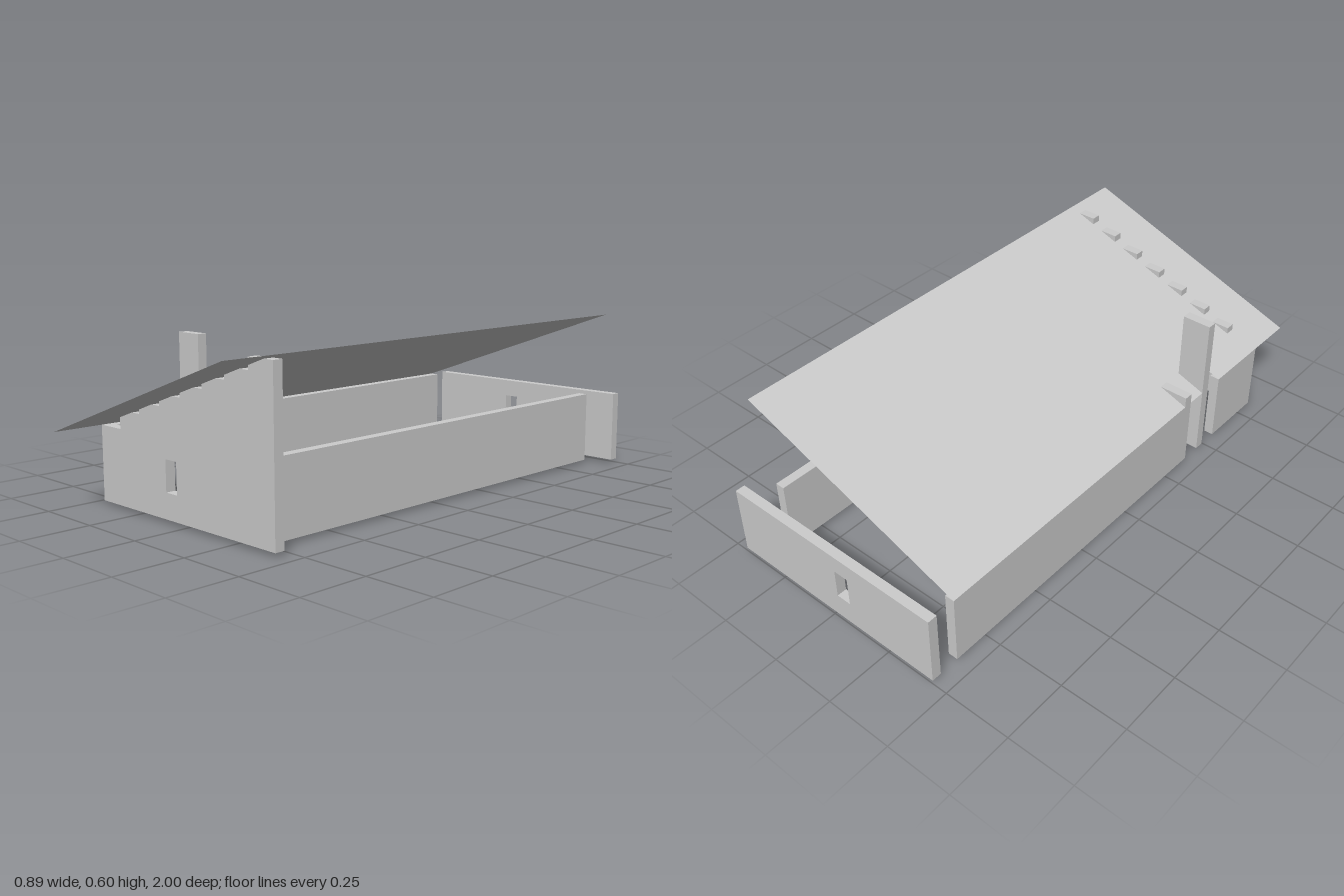
import * as THREE from 'three';

const W = 0.444;      // half width
const BASE = 0.015;   // underside of the walls
const EAVE = 0.28;    // top of the low walls
const T = 0.036;      // wall thickness
const STEP = W / 4;   // module of the plan

export function createModel() {
  const model = new THREE.Group();
  const grey = new THREE.MeshStandardMaterial({ color: 0xcccccc, flatShading: true });
  const sheet = new THREE.MeshStandardMaterial({ color: 0xcccccc, side: THREE.DoubleSide });

  const add = (name, geometry, material = grey) => {
    const mesh = new THREE.Mesh(geometry, material);
    mesh.name = name;
    model.add(mesh);
    return mesh;
  };
  // Box given by its limits on each axis
  const box = (name, x0, x1, y0, y1, z0, z1) =>
    add(name, new THREE.BoxGeometry(x1 - x0, y1 - y0, z1 - z0))
      .position.set((x0 + x1) / 2, (y0 + y1) / 2, (z0 + z1) / 2);
  const outline = (points) => new THREE.Shape(points.map(([x, y]) => new THREE.Vector2(x, y)));

  // End wall: upright panel with a small window, back face at z0
  const endWall = (name, points, z0) => {
    const shape = outline(points);
    shape.holes.push(new THREE.Path([[-0.085, 0.105], [-0.085, 0.215], [-0.028, 0.215], [-0.028, 0.105]]
      .map(([x, y]) => new THREE.Vector2(x, y))));
    add(name, new THREE.ExtrudeGeometry(shape, { depth: T, bevelEnabled: false })).position.z = z0;
  };

  // Front wall climbs in eight steps, the upper seven poking through the roof
  const stepped = [[W, BASE]];
  for (let i = 7; i >= 0; i--) {
    const y = i === 0 ? EAVE : 0.345 + (i - 1) * 0.04;
    stepped.push([-W + (i + 1) * STEP, y], [-W + i * STEP, y]);
  }
  stepped.push([-W, BASE]);
  endWall('frontWall', stepped, 0.779);
  endWall('backWall', [[-W, BASE], [W, BASE], [W, EAVE], [-W, EAVE]], -1);

  // Long walls; the right one is split by the entrance
  box('leftWall', 0.333, 0.333 + T, BASE, EAVE, -0.89, 0.779);
  box('rightWallRear', -W, -W + T, BASE, EAVE, -0.89, 0.37);
  box('rightWallFront', -W, -W + T, BASE, EAVE, 0.555, 0.779);
  box('entranceReturnWall', -W, -0.333, BASE, 0.32, 0.334, 0.37);
  box('entrancePylon', -W, -0.335, BASE, 0.572, 0.445, 0.481);

  // Floor slabs
  box('largeFloorSlab', -0.222, 0.111, 0, 0.018, 0.112, 0.667);
  box('smallFloorSlab', -0.222, -0.111, 0, 0.018, -0.667, -0.333);

  // Sloping roof sheet, notched at the entrance (outline in x and -z)
  const roof = new THREE.ShapeGeometry(outline([
    [-W, -1], [W, -1], [W, 0.89], [-W, 0.89],
    [-W, -0.445], [-0.333, -0.445], [-0.333, -0.555], [-W, -0.555],
  ]));
  roof.rotateX(-Math.PI / 2);
  const p = roof.attributes.position;
  for (let i = 0; i < p.count; i++) p.setY(i, EAVE + (p.getX(i) + W) * 0.36);
  roof.computeVertexNormals();
  add('roof', roof, sheet);

  return model;
}
